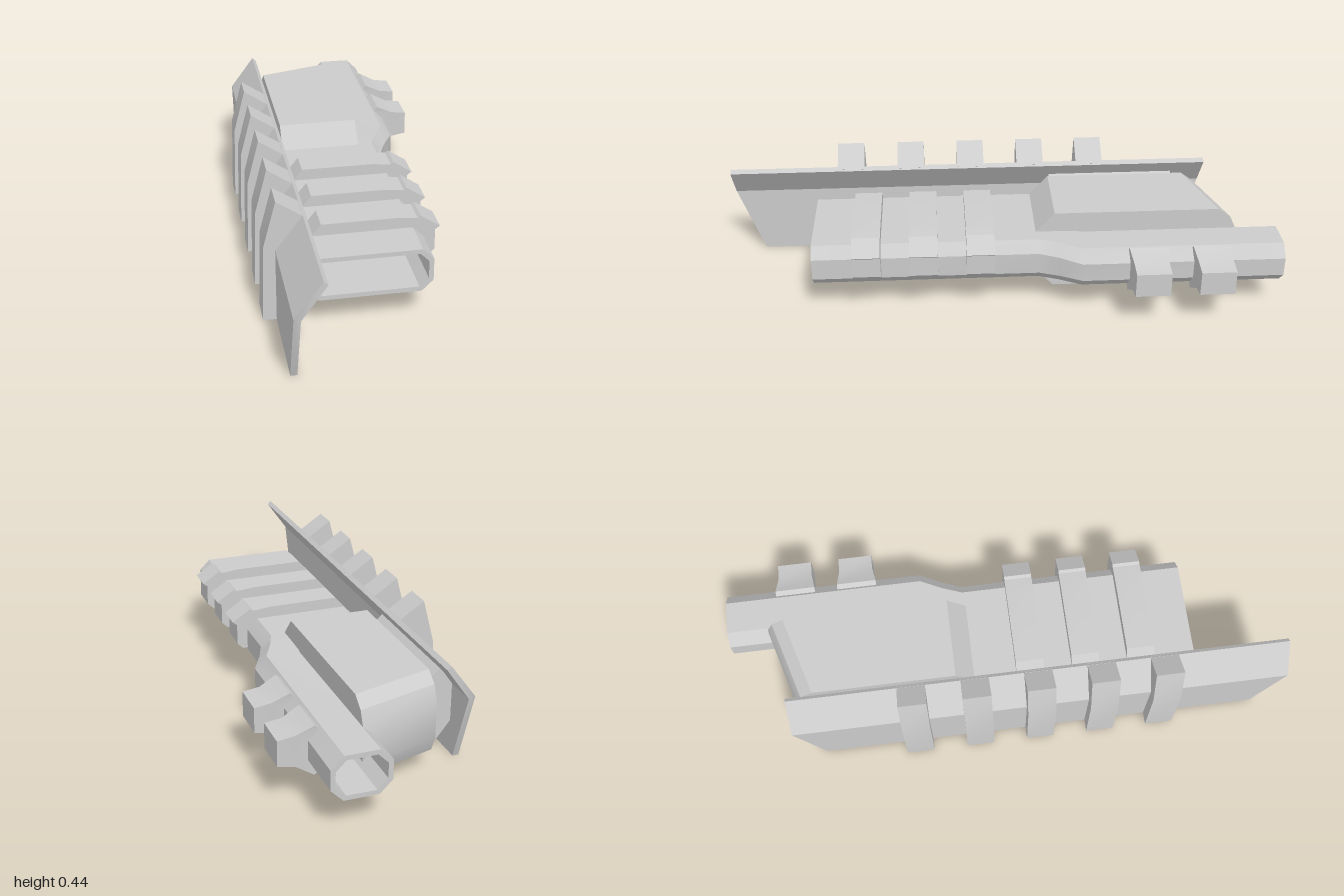
import * as THREE from 'three';
import { toCreasedNormals } from 'three/addons/utils/BufferGeometryUtils.js';

const material = new THREE.MeshStandardMaterial({ color: 0xcccccc, side: THREE.DoubleSide });

function addMesh(parent, name, geometry) {
  const mesh = new THREE.Mesh(toCreasedNormals(geometry, 0.5), material);
  mesh.name = name;
  parent.add(mesh);
  return mesh;
}

const shapeOf = (points) => new THREE.Shape(points.map(([x, y]) => new THREE.Vector2(x, y)));

// Front-plane profile extruded along z between z0 and z1
function extrudeZ(points, z0, z1) {
  const g = new THREE.ExtrudeGeometry(shapeOf(points), { depth: z1 - z0, bevelEnabled: false });
  return g.translate(0, 0, z0);
}

// Move every vertex by a rule
function deform(geometry, rule) {
  const p = geometry.attributes.position;
  const v = new THREE.Vector3();
  for (let i = 0; i < p.count; i++) {
    v.fromBufferAttribute(p, i);
    rule(v);
    p.setXYZ(i, v.x, v.y, v.z);
  }
  return geometry;
}

// Rectangle with cut corners, counter-clockwise from the front
function octagon([, l, r, b, t, c]) {
  return [[l + c, b], [r - c, b], [r, b + c], [r, t - c], [r - c, t], [l + c, t], [l, t - c], [l, b + c]];
}

// Skin over a closed chain of octagonal sections
function loftRing(sections) {
  const pos = [], index = [], n = 8, m = sections.length;
  for (const s of sections) for (const [x, y] of octagon(s)) pos.push(x, y, s[0]);
  for (let i = 0; i < m; i++) {
    for (let j = 0; j < n; j++) {
      const a = i * n + j, a1 = i * n + (j + 1) % n;
      const b = ((i + 1) % m) * n + j, b1 = ((i + 1) % m) * n + (j + 1) % n;
      index.push(a, b, b1, a, b1, a1);
    }
  }
  const g = new THREE.BufferGeometry();
  g.setAttribute('position', new THREE.Float32BufferAttribute(pos, 3));
  g.setIndex(index);
  return g;
}

export function createModel() {
  const model = new THREE.Group();
  model.name = 'armoredSleeve';

  // Hollow sleeve: wide at the front, narrowing to an offset tube at the back
  const outer = [ // z, left, right, bottom, top, corner cut
    [0.68, -0.225, 0.19, 0.11, 0.265, 0.038],
    [-0.13, -0.225, 0.19, 0.11, 0.265, 0.038],
    [-0.2, -0.1, 0.218, 0.11, 0.265, 0.04],
    [-0.28, 0.06, 0.26, 0.11, 0.262, 0.042],
    [-1, 0.06, 0.26, 0.11, 0.262, 0.042],
  ];
  const wall = 0.016;
  const inner = outer.map(([z, l, r, b, t, c]) => [z, l + wall, r - wall, b + wall, t - wall, c - 0.008]);
  addMesh(model, 'sleeve', loftRing([...outer, ...inner.reverse()]));
  const bulkhead = new THREE.ShapeGeometry(shapeOf(octagon([0, -0.215, 0.18, 0.12, 0.255, 0.035])));
  addMesh(model, 'innerBulkhead', bulkhead.translate(0, 0, -0.12));

  // Bulky housing, its rear end slanting back toward +x
  const housingProfile = [ // -z, y
    [0.12, 0.11], [0.19, 0.036], [0.7, 0.036], [0.745, 0.068], [0.77, 0.125],
    [0.77, 0.25], [0.745, 0.305], [0.7, 0.338], [0.19, 0.338], [0.12, 0.262],
  ];
  const housing = new THREE.ExtrudeGeometry(shapeOf(housingProfile), { depth: 0.288, bevelEnabled: false });
  housing.rotateY(Math.PI / 2).translate(-0.19, 0, 0);
  addMesh(model, 'housing', deform(housing, (v) => {
    if (v.z < -0.5) v.z -= 0.085 * (v.x + 0.19) / 0.288;
  }));

  // Block joining the housing to the side shield
  addMesh(model, 'shieldMount', extrudeZ([
    [-0.185, 0.108], [-0.245, 0.058], [-0.297, 0.125], [-0.297, 0.262], [-0.245, 0.318], [-0.185, 0.262],
  ], -0.67, -0.2));

  // Bent side shield with slanted lower ends
  const shield = extrudeZ([
    [-0.315, 0], [-0.293, 0], [-0.292, 0.255], [-0.21, 0.37], [-0.224, 0.382], [-0.314, 0.262],
  ], -0.79, 1);
  addMesh(model, 'sideShield', deform(shield, (v) => {
    const cut = 0.09 * Math.max(0, 1 - v.y / 0.255);
    v.z -= Math.sign(v.z) * cut;
  }));

  // Raised ribs on the outside of the shield
  const shieldRib = [
    [-0.36, 0.003], [-0.312, 0.003], [-0.312, 0.258], [-0.215, 0.375], [-0.31, 0.438], [-0.352, 0.28],
  ];
  for (let i = 0; i < 5; i++) {
    const z = 0.55 - i * 0.225;
    addMesh(model, 'shieldRib', extrudeZ(shieldRib, z - 0.05, z + 0.05));
  }

  // Bands over the top and +x side of the sleeve
  const band = [
    [-0.19, 0.262], [0.152, 0.262], [0.188, 0.226], [0.188, 0.155], [0.208, 0.155], [0.229, 0.176],
    [0.229, 0.25], [0.245, 0.262], [0.178, 0.306], [0.168, 0.298], [0.1, 0.305], [-0.155, 0.305],
  ];
  for (let i = 0; i < 3; i++) {
    const z = 0.08 + i * 0.202;
    addMesh(model, 'sleeveBand', extrudeZ(band, z - 0.05, z + 0.05));
  }

  // Flared lugs on the rear tube
  const lug = [
    [0.24, 0.098], [0.3, 0.133], [0.358, 0.143], [0.358, 0.232], [0.3, 0.24], [0.24, 0.27],
    [0.225, 0.258], [0.258, 0.222], [0.258, 0.15], [0.225, 0.112],
  ];
  for (const z of [-0.515, -0.742]) {
    const g = deform(extrudeZ(lug, -0.072, 0.072), (v) => {
      v.z *= 1 - 0.14 * THREE.MathUtils.clamp((v.x - 0.24) / 0.06, 0, 1);
    });
    addMesh(model, 'rearLug', g.translate(0, 0, z));
  }

  return model;
}
